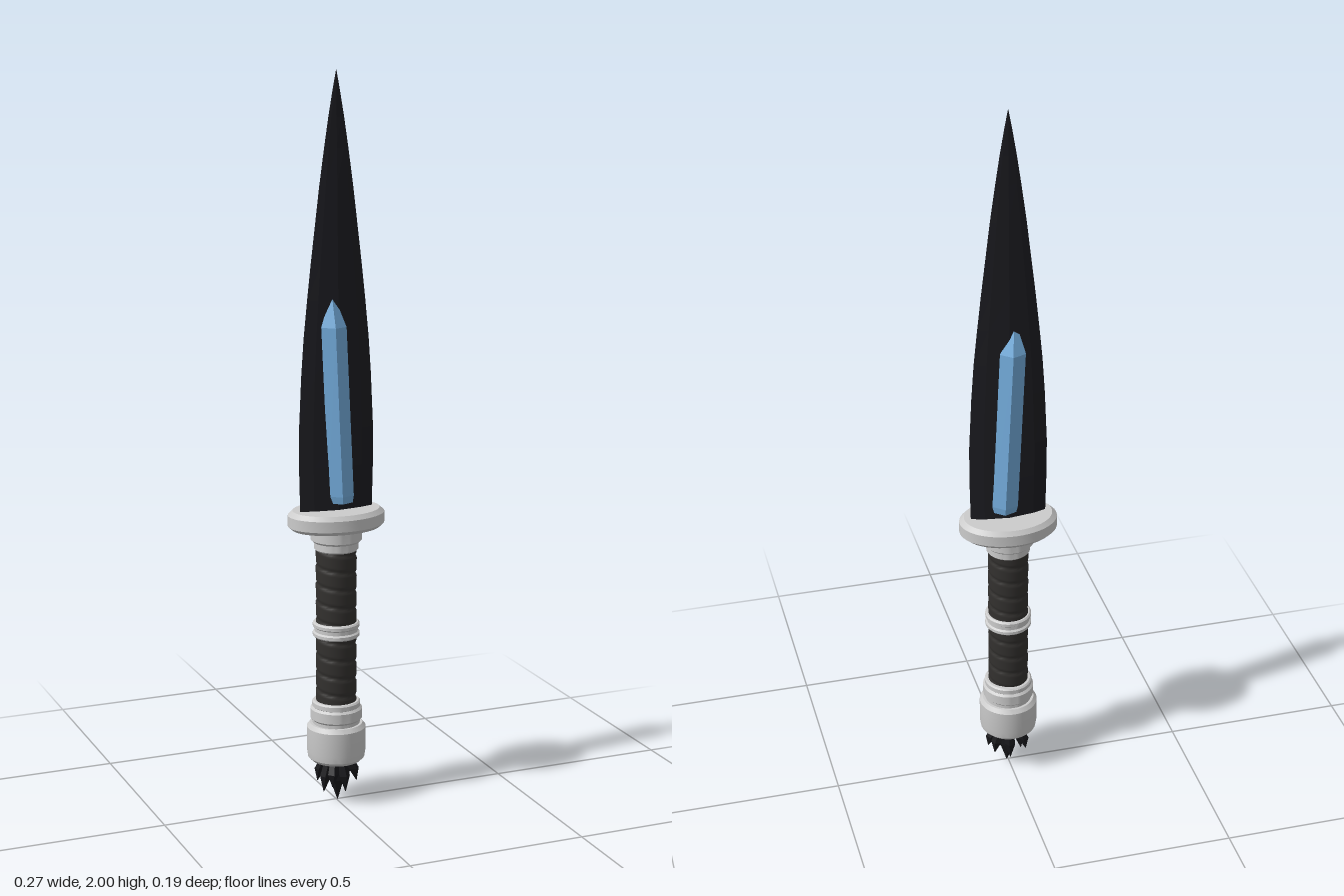
import * as THREE from 'three';
import { toCreasedNormals } from 'three/addons/utils/BufferGeometryUtils.js';

const mat = (color, flatShading = false) => new THREE.MeshStandardMaterial({ color, flatShading });
const metal = mat(0xcccccc);
const bladeBlack = mat(0x1c1c21, true);
const shardBlack = mat(0x17171a, true);
const leather = mat(0x33312f);
const crystalBlue = mat(0x74addd, true);

function add(parent, name, geometry, material) {
  const mesh = new THREE.Mesh(geometry, material);
  mesh.name = name;
  parent.add(mesh);
  return mesh;
}

// Skins a stack of rings (bottom to top) of [x, y, z] points and closes both ends
function loft(rings) {
  const n = rings[0].length;
  const pos = rings.flat(2);
  const index = [];
  for (let r = 0; r < rings.length - 1; r++) {
    for (let i = 0; i < n; i++) {
      const a = r * n + i, b = r * n + (i + 1) % n;
      index.push(a, b, b + n, a, b + n, a + n);
    }
  }
  const top = (rings.length - 1) * n;
  for (let i = 1; i < n - 1; i++) {
    index.push(0, i + 1, i, top, top + i, top + i + 1);
  }
  const g = new THREE.BufferGeometry();
  g.setAttribute('position', new THREE.Float32BufferAttribute(pos, 3));
  g.setIndex(index);
  g.computeVertexNormals();
  return g;
}

// Elliptical ring of n points around (cx, y, cz)
function ring(n, y, rx, rz, cx = 0, cz = 0, turn = 0) {
  return Array.from({ length: n }, (_, i) => {
    const a = turn + (i / n) * Math.PI * 2;
    return [cx + Math.cos(a) * rx, y, cz - Math.sin(a) * rz];
  });
}

// Turned solid with bevelled corners, listed bottom to top as [radius, y]
function turned(profile) {
  const points = profile.map(([r, y]) => new THREE.Vector2(r, y));
  return toCreasedNormals(new THREE.LatheGeometry(points, 48), 0.5);
}

function band(r, y0, y1, bevel = 0.006) {
  return turned([[0, y0], [r - bevel, y0], [r, y0 + bevel], [r, y1 - bevel], [r - bevel, y1], [0, y1]]);
}

// Leaf blade with a thin lens section
function bladeGeometry() {
  const stations = [ // y, half width, half thickness
    [0.82, 0.104, 0.02], [0.95, 0.107, 0.02], [1.05, 0.107, 0.019], [1.2, 0.1, 0.018],
    [1.3, 0.093, 0.017], [1.4, 0.083, 0.015], [1.5, 0.072, 0.012], [1.6, 0.06, 0.01],
    [1.7, 0.048, 0.008], [1.8, 0.034, 0.005], [1.88, 0.022, 0.003], [1.95, 0.01, 0.002], [2, 0.0005, 0.0005],
  ];
  return loft(stations.map(([y, w, t]) => [
    [w, y, 0], [w * 0.65, y, -t * 0.55], [0, y, -t], [-w * 0.65, y, -t * 0.55],
    [-w, y, 0], [-w * 0.65, y, t * 0.55], [0, y, t], [w * 0.65, y, t * 0.55],
  ]));
}

// Grip whose radius follows an overlapping spiral wrap
function gripGeometry() {
  const y0 = 0.28, y1 = 0.73, pitch = 0.05, rows = 108, sides = 40;
  const rings = [];
  for (let r = 0; r <= rows; r++) {
    const y = y0 + ((y1 - y0) * r) / rows;
    rings.push(ring(sides, y, 1, 1).map(([x, , z], i) => {
      const phase = (((y / pitch + i / sides) % 1) + 1) % 1;
      const groove = Math.min(1, Math.min(phase, 1 - phase) / 0.14);
      const radius = 0.051 + 0.004 * groove + 0.001 * phase;
      return [x * radius, y, z * radius];
    }));
  }
  return loft(rings);
}

export function createModel() {
  const model = new THREE.Group();
  model.name = 'dagger';

  add(model, 'blade', bladeGeometry(), bladeBlack);

  // Leaning crystal that passes through the blade and shows on both faces
  add(model, 'crystal', loft([
    ring(6, 0.85, 0.036, 0.036, 0.011, 0, 0.35),
    ring(6, 0.87, 0.04, 0.04, 0.01, 0, 0.35),
    ring(6, 1.33, 0.039, 0.041, -0.011, 0, 0.35),
    ring(6, 1.415, 0.006, 0.007, -0.015, 0.002, 0.35),
  ]), crystalBlue);

  // Oval guard
  const guard = add(model, 'guard', turned([
    [0, 0.78], [0.123, 0.78], [0.135, 0.79], [0.135, 0.82], [0.122, 0.832], [0, 0.832],
  ]), metal);
  guard.scale.z = 0.72;

  // Collar under the guard
  add(model, 'upperCollar', band(0.07, 0.742, 0.782), metal);
  add(model, 'lowerCollar', band(0.06, 0.718, 0.745, 0.004), metal);

  add(model, 'grip', gripGeometry(), leather);

  // Ring at the middle of the grip
  add(model, 'middleRing', turned([
    [0.05, 0.474], [0.06, 0.474], [0.064, 0.478], [0.064, 0.486], [0.059, 0.49],
    [0.059, 0.5], [0.064, 0.504], [0.064, 0.512], [0.06, 0.516], [0.05, 0.516],
  ]), metal);

  // Pommel rings and cup
  add(model, 'pommelTopRing', band(0.066, 0.272, 0.292, 0.004), metal);
  add(model, 'pommelRing', band(0.071, 0.236, 0.275), metal);
  add(model, 'pommelNeck', band(0.065, 0.22, 0.24, 0.002), metal);
  add(model, 'pommel', turned([
    [0, 0.12], [0.068, 0.12], [0.078, 0.13], [0.081, 0.15], [0.081, 0.216], [0.072, 0.227], [0, 0.227],
  ]), metal);

  // Cluster of dark shards under the pommel
  const shards = new THREE.Group();
  shards.name = 'pommelShards';
  model.add(shards);
  const addShard = (tx, ty, tz, r, turn) => {
    const at = (k) => [tx * k, tz * k];
    const midY = ty + (0.13 - ty) * 0.45;
    add(shards, 'shard', loft([
      ring(5, ty, 0.001, 0.001, ...at(1), turn),
      ring(5, midY, r, r, ...at(0.85), turn),
      ring(5, 0.13, r * 0.75, r * 0.75, ...at(0.5), turn),
    ]), shardBlack);
  };
  addShard(0.004, 0, 0, 0.021, 0.2);
  for (let i = 0; i < 7; i++) {
    const a = (i / 7) * Math.PI * 2 + 0.25;
    const reach = i % 2 ? 0.04 : 0.058;
    addShard(Math.cos(a) * reach, i % 2 ? 0.03 : 0.052, Math.sin(a) * reach * 0.75, 0.016, i);
  }

  return model;
}
